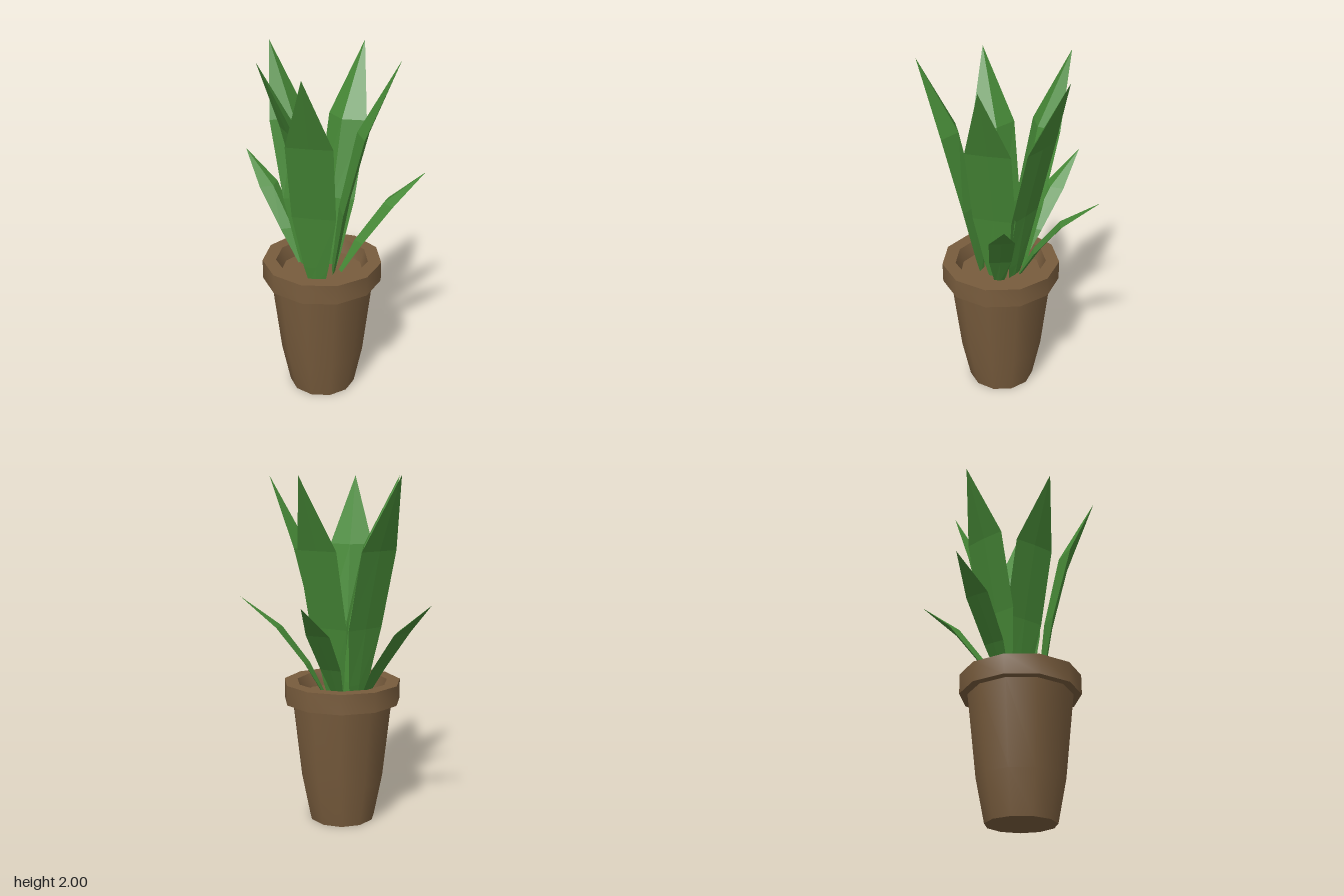
import * as THREE from 'three';
import { toCreasedNormals } from 'three/addons/utils/BufferGeometryUtils.js';

const mat = (name, color, extra = {}) => {
  const m = new THREE.MeshStandardMaterial({ color, ...extra });
  m.name = name;
  return m;
};

// Cross-sections, root to shoulder: [y, edge reach, inner ridge reach, back reach, half width]
const TALL = {
  rows: [
    [0.72, 0.01, 0.0, 0.015, 0.045],
    [0.83, 0.03, 0.005, 0.035, 0.07],
    [1.16, 0.085, 0.04, 0.09, 0.122],
    [1.6, 0.195, 0.135, 0.2, 0.126],
  ],
  tip: [2, 0.36],
};
const SHORT = {
  rows: [
    [0.72, 0.01, 0.0, 0.015, 0.025],
    [0.94, 0.14, 0.105, 0.142, 0.062],
    [1.16, 0.305, 0.265, 0.308, 0.07],
  ],
  tip: [1.335, 0.5],
};

// Four-sided blade leaning towards +x, ending in a sharp point
function bladeGeometry({ rows, tip }) {
  const pos = [], index = [];
  for (const [y, edge, ridge, back, w] of rows) {
    pos.push(ridge, y, 0, edge, y, w, back, y, 0, edge, y, -w);
  }
  const n = rows.length;
  pos.push(tip[1], tip[0], 0);
  for (let r = 0; r < n; r++) {
    for (let k = 0; k < 4; k++) {
      const a = r * 4 + k, b = r * 4 + (k + 1) % 4;
      if (r === n - 1) index.push(a, b, n * 4);
      else index.push(a, b, b + 4, a, b + 4, a + 4);
    }
  }
  index.push(0, 3, 2, 0, 2, 1);
  const g = new THREE.BufferGeometry();
  g.setAttribute('position', new THREE.Float32BufferAttribute(pos, 3));
  g.setIndex(index);
  g.computeVertexNormals();
  return g;
}

export function createModel() {
  const group = new THREE.Group();
  const clay = mat('clay brown', 0x785c3d);
  const green = mat('leaf green', 0x478a37, { flatShading: true, side: THREE.DoubleSide });

  // Eleven-sided pot: base, tapered body, rim, inner wall and soil in one profile
  const profile = [
    [0, 0], [0.195, 0], [0.243, 0.24], [0.296, 0.715], [0.342, 0.715],
    [0.342, 0.83], [0.265, 0.83], [0.24, 0.75], [0, 0.75],
  ].map(([r, y]) => new THREE.Vector2(r, y));
  const pot = new THREE.Mesh(
    toCreasedNormals(new THREE.LatheGeometry(profile, 11, Math.PI / 2), 0.7), clay);
  pot.name = 'pot';
  pot.position.set(-0.016, 0, 0.06);
  group.add(pot);

  // Leaves placed by tip position and lean direction in degrees (from +x towards +z)
  const addLeaves = (name, shape, list) => {
    const geometry = bladeGeometry(shape);
    for (const [tipX, tipZ, degrees] of list) {
      const a = THREE.MathUtils.degToRad(degrees);
      const leaf = new THREE.Mesh(geometry, green);
      leaf.name = name;
      leaf.rotation.y = -a;
      leaf.position.set(tipX - shape.tip[1] * Math.cos(a), 0, tipZ - shape.tip[1] * Math.sin(a));
      group.add(leaf);
    }
  };
  addLeaves('tallLeaf', TALL, [
    [0.4, 0.06, 0], [-0.025, 0.52, 90], [-0.32, 0.235, 146],
    [-0.375, -0.255, 221], [0.15, -0.345, -66],
  ]);
  addLeaves('shortLeaf', SHORT, [
    [0.54, -0.105, -18], [-0.545, -0.29, 214], [0.105, -0.52, -75],
  ]);
  return group;
}
